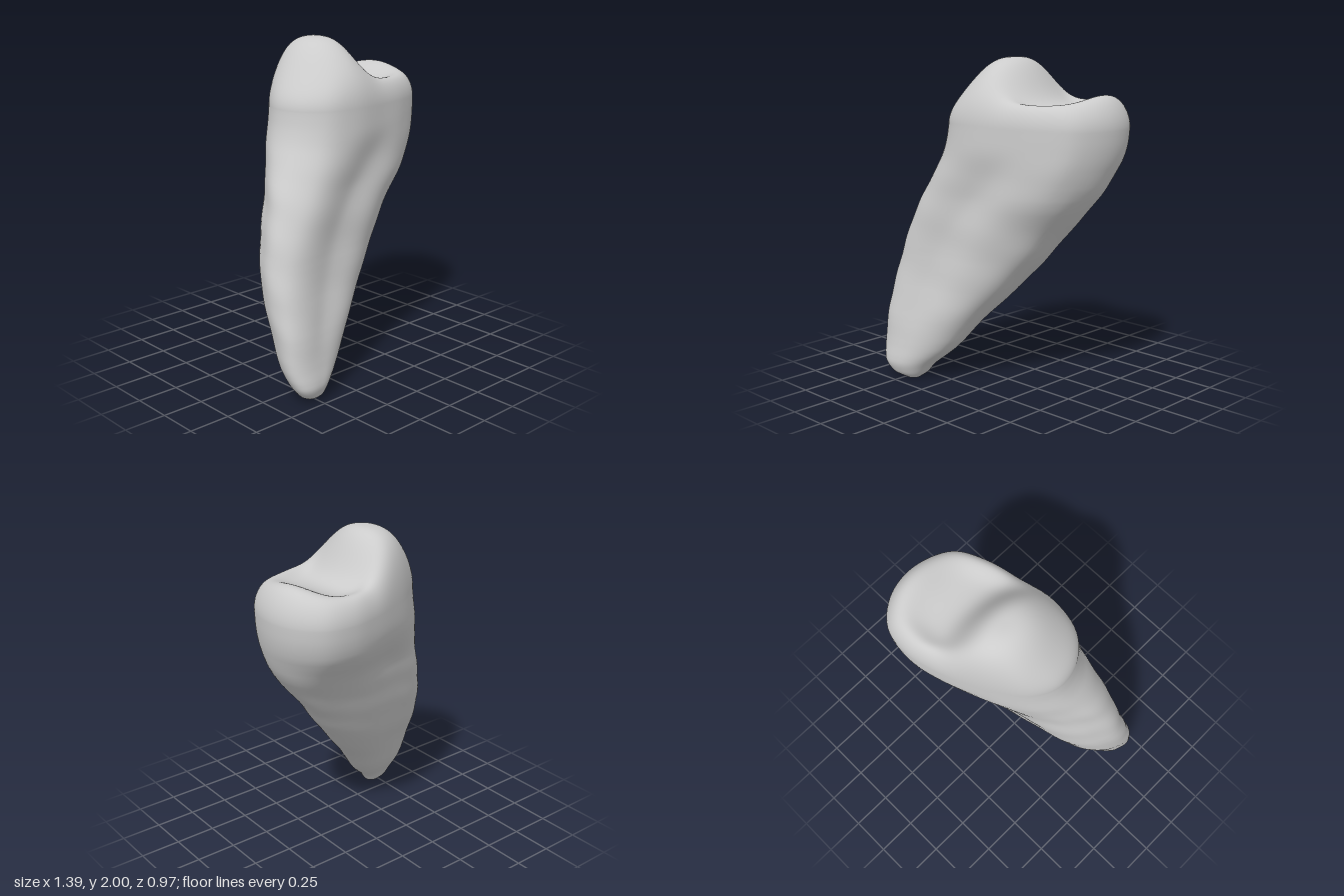
import * as THREE from 'three';

// Cross-sections from root tip to crown: [y, xMin, xMax, zMin, zMax]
const SECTIONS = [
  [0.0, -0.49, -0.43, 0.35, 0.41],
  [0.03, -0.59, -0.395, 0.29, 0.46],
  [0.1, -0.65, -0.345, 0.255, 0.49],
  [0.2, -0.685, -0.225, 0.17, 0.465],
  [0.4, -0.695, -0.08, 0.07, 0.44],
  [0.6, -0.695, 0.10, -0.05, 0.39],
  [0.8, -0.665, 0.27, -0.14, 0.355],
  [1.0, -0.605, 0.42, -0.22, 0.34],
  [1.2, -0.53, 0.59, -0.31, 0.32],
  [1.4, -0.435, 0.67, -0.46, 0.305],
  [1.5, -0.40, 0.69, -0.485, 0.30],
  [1.6, -0.385, 0.695, -0.49, 0.295],
];
// Crown outline seen from above, from the left side round by the front
const CROWN = new THREE.CatmullRomCurve3([
  [0.69, -0.18], [0.665, 0.0], [0.59, 0.13], [0.41, 0.22], [0.2, 0.265], [-0.06, 0.3],
  [-0.25, 0.26], [-0.37, 0.13], [-0.4, -0.03], [-0.33, -0.18], [-0.18, -0.3], [0, -0.39],
  [0.18, -0.455], [0.36, -0.49], [0.53, -0.46], [0.645, -0.34],
].map(([x, z]) => new THREE.Vector3(x, 0, z)), true);

const RIM_Y = 1.6, SEG = 96, ROOT_RINGS = 80, CAP_RINGS = 56;
const smooth = THREE.MathUtils.smoothstep, lerp = THREE.MathUtils.lerp;
const bell = (v, w) => Math.exp(-(v * v) / (w * w));

// Linear lookup softened by averaging over a small height window
function sectionAt(y) {
  const raw = (h) => {
    let i = 0;
    while (i < SECTIONS.length - 2 && SECTIONS[i + 1][0] < h) i++;
    const a = SECTIONS[i], b = SECTIONS[i + 1];
    const f = THREE.MathUtils.clamp((h - a[0]) / (b[0] - a[0]), 0, 1);
    return a.map((v, k) => lerp(v, b[k], f));
  };
  const w = Math.min(0.06, y * 0.3, (RIM_Y - y) * 0.6);
  const [p, q, r] = [raw(y - w), raw(y), raw(y + w)];
  return q.map((v, k) => (p[k] + 2 * v + r[k]) / 4);
}

// Grooved, skewed oval in the root that turns into the crown outline
function outline(y, t) {
  const [, x0, x1, z0, z1] = sectionAt(y);
  const box = (v) => Math.sign(v) * Math.pow(Math.abs(v), 0.86);
  const root = smooth(y, 0.12, 0.5) * (1 - smooth(y, 1.15, 1.5));
  const groove = root * (0.15 * bell(t - 1.7, 0.36) + 0.08 * bell(t - 4.5, 0.3));
  const lumps = root * 0.01 * Math.sin(15 * y + 2 * t) * Math.sin(11 * y - 5 * t + 1);
  const k = 1 - groove + lumps;
  const c = CROWN.getPoint(t / (Math.PI * 2));
  const blend = smooth(y, 0.9, 1.45);
  const nx = lerp(box(Math.cos(t)), (c.x - 0.145) / 0.545, blend);
  const nz = lerp(box(Math.sin(t - 0.4)), (c.z + 0.095) / 0.395, blend);
  return [
    (x0 + x1) / 2 + (x1 - x0) / 2 * nx * k,
    (z0 + z1) / 2 + (z1 - z0) / 2 * nz * k * (1 + 0.03 * root),
  ];
}

// Chewing surface: broad cusp on one side, shallow saddle with a low rim on the other
function crownHeight(x, z, s) {
  const u = (x + 0.02) / (x < -0.02 ? 0.28 : 0.2), v = (z + 0.09) / 0.34;
  const cusp = 0.29 * Math.exp(-Math.pow(u * u + v * v, 1.35));
  const rim = 0.045 * bell(s - 0.86, 0.22) * smooth(x, 0.0, 0.3);
  const ridge = 0.055 * bell(x - 0.57, 0.15) * bell(z + 0.2, 0.22);
  const top = 1.71 + cusp + rim + ridge;
  return RIM_Y + (top - RIM_Y) * Math.sqrt(1 - s ** 9);
}

function toothGeometry() {
  const pos = [], index = [];
  const ring = (fn) => {
    for (let j = 0; j < SEG; j++) pos.push(...fn((j / SEG) * Math.PI * 2));
  };
  // Root and lower crown
  for (let i = 0; i <= ROOT_RINGS; i++) {
    const y = RIM_Y * Math.pow(i / ROOT_RINGS, 1.25);
    ring((t) => { const [x, z] = outline(y, t); return [x, y, z]; });
  }
  // Crown cap, shrinking towards its centre
  const [, x0, x1, z0, z1] = sectionAt(RIM_Y);
  const cx = (x0 + x1) / 2, cz = (z0 + z1) / 2;
  for (let i = 1; i < CAP_RINGS; i++) {
    const s = 1 - Math.pow(i / CAP_RINGS, 1.8);
    ring((t) => {
      const [ox, oz] = outline(RIM_Y, t);
      const x = lerp(cx, ox, s), z = lerp(cz, oz, s);
      return [x, crownHeight(x, z, s), z];
    });
  }
  const rings = pos.length / 3 / SEG;
  for (let i = 0; i < rings - 1; i++) for (let j = 0; j < SEG; j++) {
    const a = i * SEG + j, b = i * SEG + (j + 1) % SEG;
    index.push(a, a + SEG, b, b, a + SEG, b + SEG);
  }
  // Close both ends
  const top = pos.length / 3, tip = top + 1, last = (rings - 1) * SEG;
  pos.push(cx, crownHeight(cx, cz, 0), cz, -0.46, 0, 0.38);
  for (let j = 0; j < SEG; j++) {
    const n = (j + 1) % SEG;
    index.push(last + j, top, last + n, j, n, tip);
  }
  const g = new THREE.BufferGeometry();
  g.setAttribute('position', new THREE.Float32BufferAttribute(pos, 3));
  g.setIndex(index);
  g.computeVertexNormals();
  return g;
}

export function createModel() {
  const group = new THREE.Group();
  group.name = 'tooth';
  const mesh = new THREE.Mesh(toothGeometry(), new THREE.MeshStandardMaterial({ color: 0xcccccc }));
  mesh.name = 'crownAndRoot';
  group.add(mesh);
  return group;
}
